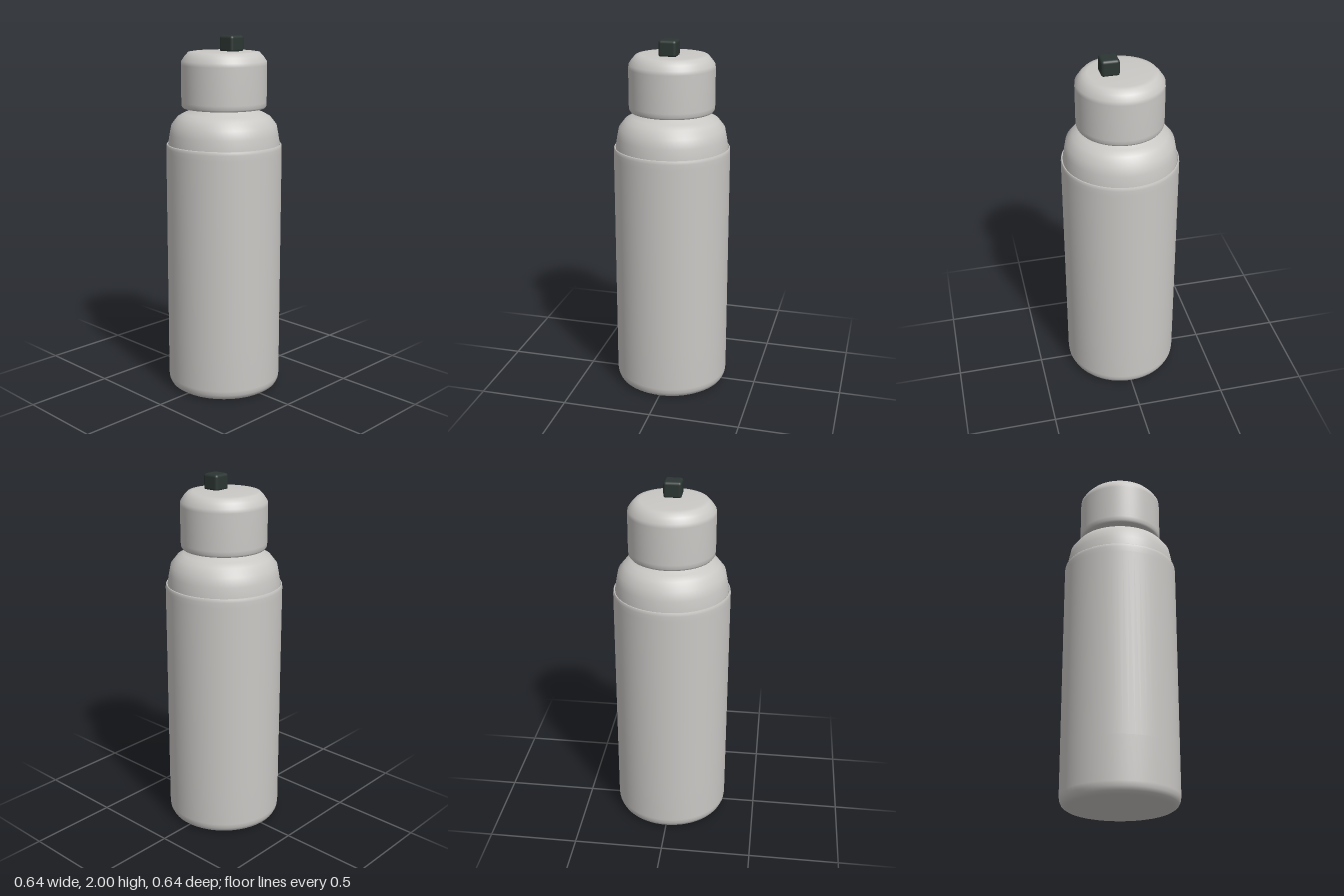
import * as THREE from 'three';
import { RoundedBoxGeometry } from 'three/addons/geometries/RoundedBoxGeometry.js';

const paint = new THREE.MeshStandardMaterial({ color: 0xcac8c5 });
paint.name = 'pale grey';
const rubber = new THREE.MeshStandardMaterial({ color: 0x2c3633 });
rubber.name = 'dark green grey';

// Turns a bottom-to-top [radius, height] profile around the y axis
function turned(name, profile) {
  const points = profile.map(([r, y]) => new THREE.Vector2(r, y));
  const mesh = new THREE.Mesh(new THREE.LatheGeometry(points, 64), paint);
  mesh.name = name;
  return mesh;
}

export function createModel() {
  const bottle = new THREE.Group();
  bottle.name = 'bottle';

  // Cylinder with a rounded foot and a lip that rolls into a shallow groove
  bottle.add(turned('body', [
    [0, 0], [0.27, 0], [0.29, 0.002], [0.308, 0.014], [0.318, 0.035], [0.321, 0.06],
    [0.321, 0.3], [0.321, 1.36], [0.321, 1.39], [0.319, 1.405], [0.315, 1.41],
    [0.311, 1.405], [0.306, 1.385], [0.3, 1.38],
  ]));

  // Shoulder rising from the groove to the neck under the cap
  bottle.add(turned('shoulder', [
    [0.308, 1.38], [0.31, 1.41], [0.301, 1.465], [0.291, 1.515], [0.257, 1.558],
    [0.222, 1.577], [0.16, 1.603], [0.15, 1.62],
  ]));

  // Cap with a small lower bevel and a softened top edge
  bottle.add(turned('cap', [
    [0, 1.606], [0.21, 1.606], [0.226, 1.607], [0.233, 1.617], [0.235, 1.64],
    [0.235, 1.84], [0.233, 1.862], [0.215, 1.888], [0.195, 1.909], [0.17, 1.913],
    [0.08, 1.917], [0, 1.917],
  ]));

  // Button set toward the front of the cap
  const button = new THREE.Mesh(new RoundedBoxGeometry(0.098, 0.09, 0.098, 3, 0.016), rubber);
  button.name = 'button';
  button.position.set(0, 1.955, 0.058);
  bottle.add(button);

  return bottle;
}
